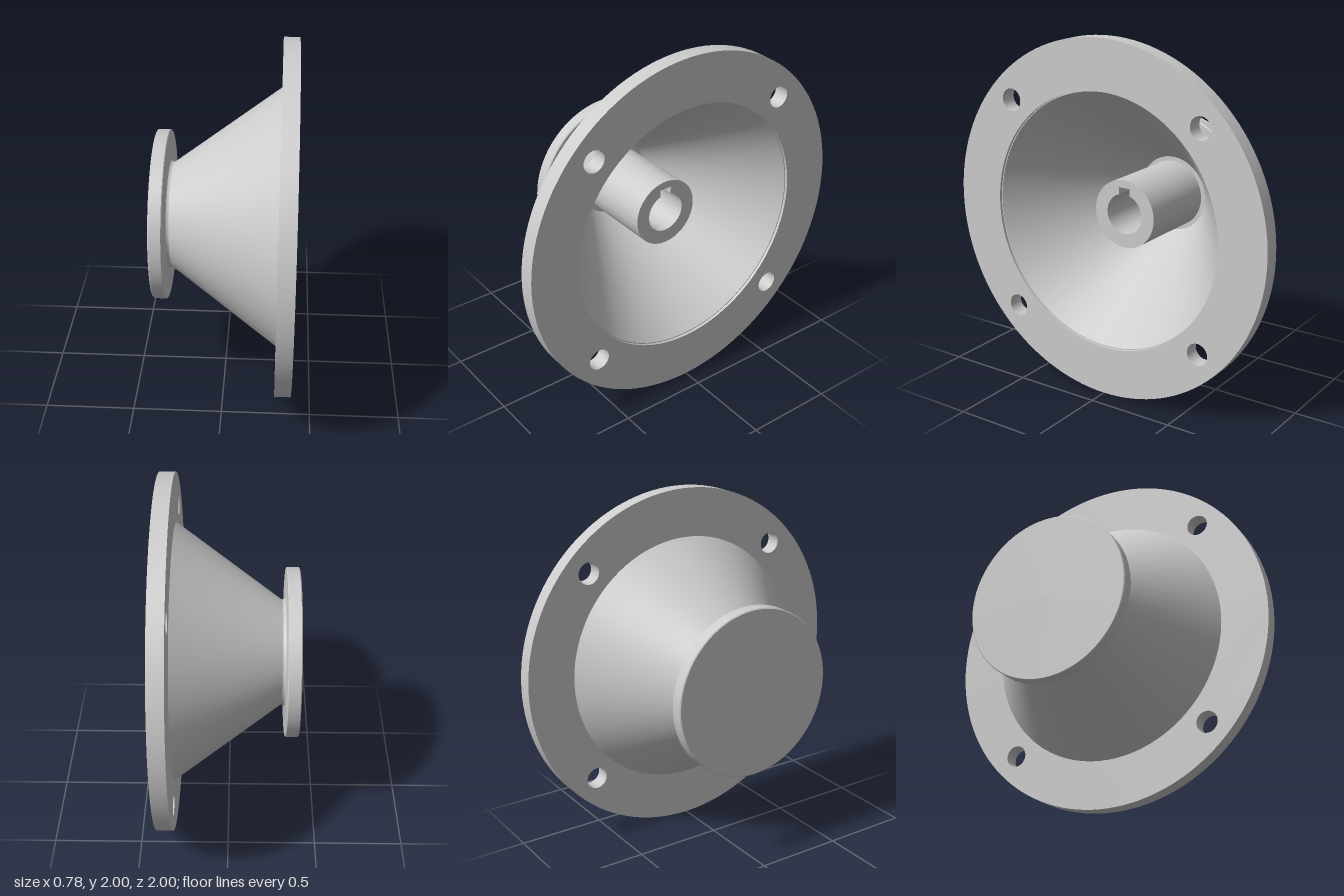
import * as THREE from 'three';
import { toCreasedNormals } from 'three/addons/utils/BufferGeometryUtils.js';

const SEGMENTS = 128;
const material = new THREE.MeshStandardMaterial({ color: 0xcccccc });

function addPart(group, name, geometry) {
  const mesh = new THREE.Mesh(toCreasedNormals(geometry, 0.5), material);
  mesh.name = name;
  group.add(mesh);
}

// Extrude a (z, y) outline along the x axis between x0 and x1
function extrudeAlongX(shape, x0, x1) {
  const geometry = new THREE.ExtrudeGeometry(shape, {
    depth: x1 - x0, bevelEnabled: false, curveSegments: SEGMENTS / 2,
  });
  return geometry.translate(0, 0, x0).rotateY(Math.PI / 2);
}

function circle(Type, radius, x = 0, y = 0) {
  return new Type().absarc(x, y, radius, 0, Math.PI * 2, false);
}

export function createModel() {
  const group = new THREE.Group();
  group.name = 'flangedCone';

  // Closed end disc, filleted neck and hollow cone: (radius, x)
  const profile = [
    [0, -0.39], [0.472, -0.39], [0.4775, -0.385], [0.4775, -0.32], [0.472, -0.315],
    [0.311, -0.315], [0.302, -0.311], [0.297, -0.303], [0.296, -0.295], [0.301, -0.285],
    [0.725, 0.30], [0.74, 0.32], [0.74, 0.372], [0.715, 0.372],
    [0.22, -0.312], [0, -0.312],
  ].map(([r, x]) => new THREE.Vector2(r, x));
  addPart(group, 'coneBody', new THREE.LatheGeometry(profile, SEGMENTS).rotateZ(-Math.PI / 2));

  // Large mounting flange with four bolt holes
  const flange = circle(THREE.Shape, 1);
  flange.holes.push(circle(THREE.Path, 0.72));
  for (const sy of [-1, 1])
    for (const sz of [-1, 1])
      flange.holes.push(circle(THREE.Path, 0.062, sz * 0.607, sy * 0.607));
  addPart(group, 'mountingFlange', extrudeAlongX(flange, 0.298, 0.388));

  // Inner hub with a keyed bore
  const bore = 0.114, keyHalf = 0.035, keyTop = 0.15;
  const keyAngle = Math.acos(keyHalf / bore);
  const keyway = new THREE.Path();
  keyway.absarc(0, 0, bore, Math.PI - keyAngle, Math.PI * 2 + keyAngle, false);
  keyway.lineTo(keyHalf, keyTop);
  keyway.lineTo(-keyHalf, keyTop);
  keyway.closePath();
  const hub = circle(THREE.Shape, 0.194);
  hub.holes.push(keyway);
  addPart(group, 'keyedHub', extrudeAlongX(hub, -0.32, 0.18));

  group.position.y = 1;
  return group;
}
